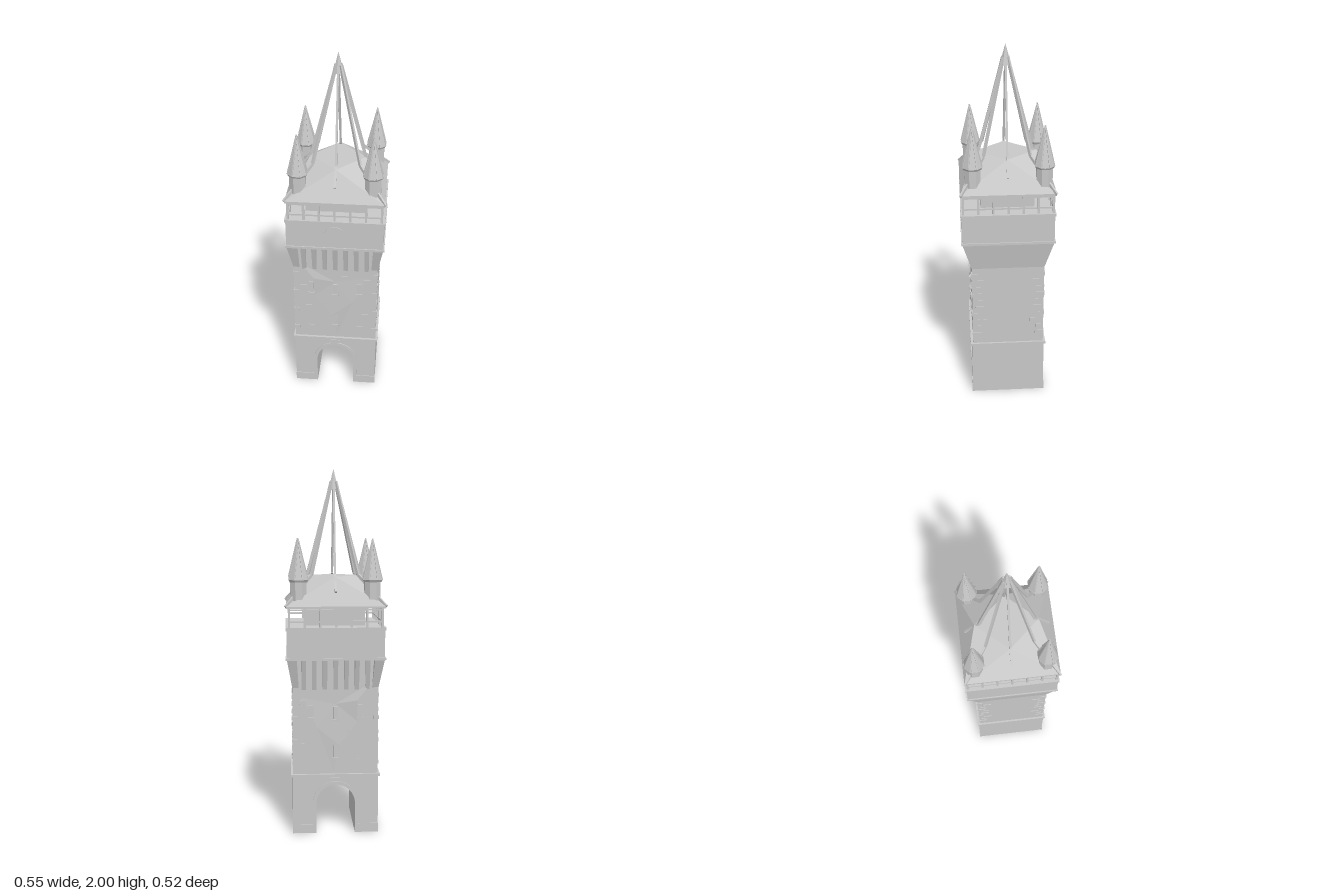
import * as THREE from 'three';

export function createModel() {
  const root = new THREE.Group();
  root.name = 'gateTower';
  const stone = new THREE.MeshStandardMaterial({ color: 0xc8c8c8, flatShading: true, side: THREE.DoubleSide });
  stone.name = 'grey stone';

  const add = (name, geo, x = 0, y = 0, z = 0) => {
    const m = new THREE.Mesh(geo, stone);
    m.name = name;
    m.position.set(x, y, z);
    root.add(m);
    return m;
  };
  const box = (name, w, h, d, x, y, z) => add(name, new THREE.BoxGeometry(w, h, d), x, y, z);

  // Square beam between two points
  const beam = (name, a, b, w, d = w) => {
    const p = new THREE.Vector3(...a), q = new THREE.Vector3(...b);
    const m = add(name, new THREE.BoxGeometry(w, d, p.distanceTo(q)));
    m.position.copy(p).add(q).multiplyScalar(0.5);
    m.lookAt(q);
    return m;
  };

  // Box whose bottom and top rectangles [x0, x1, z0, z1] differ
  const loft = (name, lo, hi, y0, y1) => {
    const g = new THREE.BoxGeometry(1, 1, 1), p = g.attributes.position;
    for (let i = 0; i < p.count; i++) {
      const top = p.getY(i) > 0, r = top ? hi : lo;
      p.setXYZ(i, r[p.getX(i) > 0 ? 1 : 0], top ? y1 : y0, r[p.getZ(i) > 0 ? 3 : 2]);
    }
    g.computeVertexNormals();
    return add(name, g);
  };

  // Faces from points and triangle indices
  const faces = (name, points, index) => {
    const g = new THREE.BufferGeometry();
    g.setAttribute('position', new THREE.Float32BufferAttribute(points.flat(), 3));
    g.setIndex(index);
    const flat = g.toNonIndexed();
    flat.computeVertexNormals();
    return add(name, flat);
  };

  const extrude = (shape, depth) =>
    new THREE.ExtrudeGeometry(shape, { depth, bevelEnabled: false, curveSegments: 12 });

  // Gate block with the round passage running through it
  const gate = (w, top, r, spring) => {
    const s = new THREE.Shape();
    s.moveTo(-w, 0);
    s.lineTo(-r, 0);
    s.lineTo(-r, spring);
    s.absarc(0, spring, r, Math.PI, 0, true);
    s.lineTo(r, 0);
    s.lineTo(w, 0);
    s.lineTo(w, top);
    s.lineTo(-w, top);
    s.closePath();
    return s;
  };
  add('gateBlock', extrude(gate(0.236, 0.33, 0.107, 0.17), 0.412), 0, 0, -0.206);
  box('shaft', 0.468, 0.67, 0.4, 0, 0.665, 0);
  box('stringCourse', 0.49, 0.014, 0.428, 0, 0.33, 0);

  // Arch trim
  const trim = new THREE.Shape();
  trim.moveTo(-0.126, 0.05);
  trim.lineTo(-0.126, 0.17);
  trim.absarc(0, 0.17, 0.126, Math.PI, 0, true);
  trim.lineTo(0.126, 0.05);
  trim.lineTo(0.107, 0.05);
  trim.lineTo(0.107, 0.17);
  trim.absarc(0, 0.17, 0.107, 0, Math.PI, false);
  trim.lineTo(-0.107, 0.05);
  trim.closePath();

  for (const s of [-1, 1]) {
    add('archTrim', extrude(trim, 0.008), 0, 0, s > 0 ? 0.204 : -0.212);
    box('keystone', 0.055, 0.022, 0.016, 0, 0.308, s * 0.205);
    for (const x of [-0.172, 0.172]) box('plinth', 0.13, 0.05, 0.012, x, 0.025, s * 0.204);

    // Narrow windows with sills
    for (const [x, y] of [[0, 0.68], [0, 0.465], [0.135, 0.69], [-0.135, 0.69]]) {
      box('window', 0.026, 0.07, 0.012, x, y, s * 0.202);
      box('windowSill', 0.034, 0.01, 0.02, x, y - 0.038, s * 0.202);
    }

    // Worn facets on the wall
    const z = s * 0.201, d = s * 0.207;
    faces('wornFacets', [
      [-0.2, 0.85, z], [-0.12, 0.75, d], [0, 0.73, z], [0.19, 0.77, z],
      [0.1, 0.6, d], [0.01, 0.35, z], [-0.02, 0.5, d], [-0.12, 0.63, z],
    ], s > 0 ? [0, 1, 2, 1, 7, 2, 7, 6, 2, 6, 4, 2, 6, 5, 4, 4, 3, 2]
      : [0, 2, 1, 1, 2, 7, 7, 2, 6, 6, 2, 4, 6, 4, 5, 4, 2, 3]);

    // Scattered raised stones
    for (const [x, y] of [[-0.14, 0.41], [-0.15, 0.55], [-0.06, 0.57], [0.06, 0.55], [0.14, 0.41],
      [0.17, 0.5], [0.05, 0.76], [0.18, 0.74], [-0.18, 0.69]])
      box('raisedStone', 0.036, 0.02, 0.008, x, y, s * 0.2);

    // Quoins at the corners of both side walls
    for (const side of [-1, 1])
      for (let i = 0; i < 10; i++) {
        const w = i % 2 ? 0.03 : 0.05;
        box('quoin', 0.01, 0.02, w, side * 0.233, 0.4 + i * 0.042, s * (0.2 - w / 2 - (i % 3) * 0.015));
        if (i % 3 === 0) box('quoin', 0.03, 0.02, 0.008, side * 0.222, 0.4 + i * 0.042, s * 0.2);
      }

    // Corbels carrying the overhanging storey
    for (let i = 0; i < 7; i++) {
      const x = -0.174 + i * 0.058;
      const z0 = s * 0.19, zl = s * 0.201, zh = s * 0.247;
      loft('corbel', [x - 0.012, x + 0.012, Math.min(z0, zl), Math.max(z0, zl)],
        [x - 0.012, x + 0.012, Math.min(z0, zh), Math.max(z0, zh)], 0.81, 0.98);
    }
    // Solid flare of the side walls
    loft('sideFlare', s > 0 ? [0.2, 0.235, -0.2, 0.2] : [-0.235, -0.2, -0.2, 0.2],
      s > 0 ? [0.21, 0.263, -0.248, 0.248] : [-0.263, -0.21, -0.248, 0.248], 0.82, 0.98);
  }

  // Overhanging storey and cornices
  box('upperStorey', 0.526, 0.17, 0.496, 0, 1.065, 0);
  box('lowerCornice', 0.538, 0.013, 0.508, 0, 0.984, 0);
  box('upperCornice', 0.538, 0.016, 0.508, 0, 1.146, 0);
  const dial = add('clockDisc', new THREE.CylinderGeometry(0.055, 0.055, 0.006, 24), 0, 1.066, 0.249);
  dial.rotation.x = Math.PI / 2;

  // Open gallery around an inner room
  box('galleryRoom', 0.33, 0.11, 0.29, 0, 1.205, 0);
  for (const s of [-1, 1]) {
    for (const y of [1.185, 1.248]) {
      box('galleryRail', 0.51, 0.009, 0.01, 0, y, s * 0.24);
      box('galleryRail', 0.01, 0.009, 0.48, s * 0.25, y, 0);
    }
    for (let i = 0; i < 7; i++) {
      const t = i / 3 - 1;
      box('galleryPost', 0.012, 0.11, 0.012, t * 0.25, 1.205, s * 0.24);
      if (i > 0 && i < 6) box('galleryPost', 0.012, 0.11, 0.012, s * 0.25, 1.205, t * 0.24);
    }
  }

  // Low roof: eave corners, mid-side ridge points and flat crown
  box('eaves', 0.528, 0.012, 0.508, 0, 1.261, 0);
  const e = 1.267, t = 1.42;
  faces('roof', [
    [-0.264, e, 0.254], [0.264, e, 0.254], [0.264, e, -0.254], [-0.264, e, -0.254],
    [0, t, 0.165], [0.15, t, 0], [0, t, -0.17], [-0.15, t, 0],
  ], [0, 1, 4, 1, 2, 5, 2, 3, 6, 3, 0, 7, 1, 5, 4, 2, 6, 5, 3, 7, 6, 0, 4, 7, 4, 5, 6, 4, 6, 7]);

  // Skeleton spire: eight bent ribs meeting at a finial
  for (const sx of [-1, 0, 1])
    for (const sz of [-1, 0, 1]) {
      if (!sx && !sz) continue;
      const diagonal = sx && sz;
      const k = diagonal ? 0.125 : 0.145;
      const top = [sx * 0.012, 1.93, sz * 0.012], knee = [sx * k, 1.43, sz * k];
      const foot = diagonal ? [sx * 0.268, 1.265, sz * 0.252] : [sx * 0.21, 1.34, sz * 0.22];
      beam('spireRib', top, knee, 0.011, 0.016);
      beam('ribFoot', knee, foot, 0.011, 0.016);
    }
  add('finial', new THREE.ConeGeometry(0.03, 0.11, 6), 0, 1.945, 0);

  // Corner turrets
  for (const x of [-0.198, 0.198])
    for (const z of [-0.192, 0.186]) {
      const turn = Math.PI / 8;
      add('turret', new THREE.CylinderGeometry(0.046, 0.046, 0.14, 8), x, 1.335, z).rotation.y = turn;
      add('turretCap', new THREE.CylinderGeometry(0.057, 0.05, 0.012, 8), x, 1.4, z).rotation.y = turn;
      add('turretRoof', new THREE.ConeGeometry(0.056, 0.22, 8), x, 1.514, z).rotation.y = turn;
      for (let i = 0; i < 8; i++) {
        const a = turn + i * Math.PI / 4;
        beam('turretRib', [x + Math.sin(a) * 0.055, 1.407, z + Math.cos(a) * 0.055], [x, 1.622, z], 0.005);
      }
    }

  return root;
}
